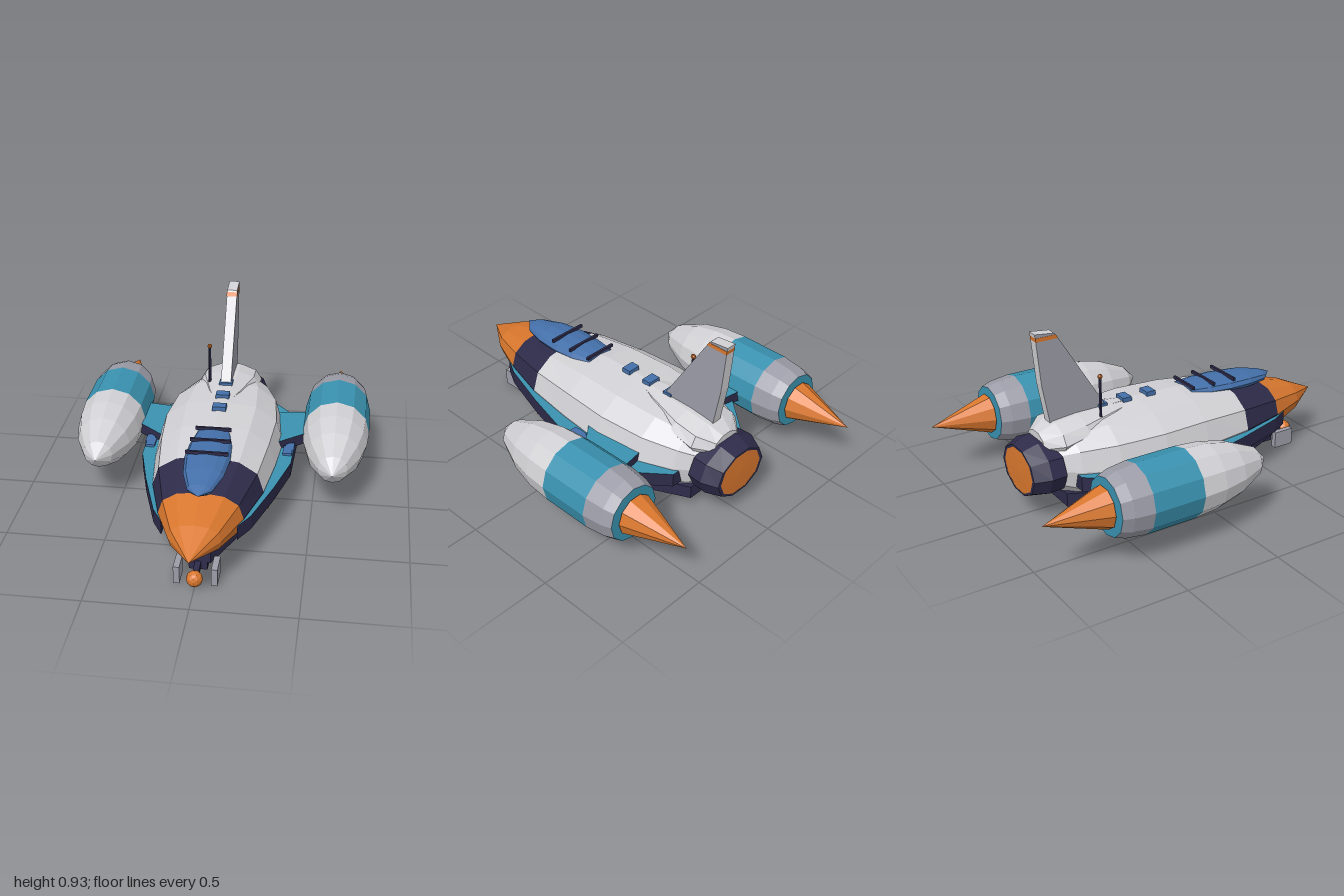
import * as THREE from 'three';

const mat = (name, color) => {
  const m = new THREE.MeshStandardMaterial({ color, flatShading: true });
  m.name = name;
  return m;
};
const grey = mat('light grey', 0xd2d2d6);
const mid = mat('mid grey', 0x9c9ca8);
const navy = mat('navy', 0x2e2b4a);
const teal = mat('teal', 0x3a92b0);
const orange = mat('orange', 0xd9772e);
const blue = mat('canopy blue', 0x4470aa);

// Faceted skin through rings [z, halfWidth, top, bottom], listed front to back.
function loft(rings, sides, power = 1) {
  const bend = v => Math.sign(v) * Math.abs(v) ** power;
  const point = ([z, w, top, bottom], i) => {
    const a = (i / sides) * Math.PI * 2;
    return [w * bend(Math.cos(a)), (top + bottom) / 2 + (top - bottom) / 2 * bend(Math.sin(a)), z];
  };
  const pos = [];
  for (let r = 0; r < rings.length - 1; r++) {
    for (let i = 0; i < sides; i++) {
      const a = point(rings[r], i), b = point(rings[r], i + 1);
      const c = point(rings[r + 1], i + 1), d = point(rings[r + 1], i);
      pos.push(...a, ...d, ...b, ...b, ...d, ...c);
    }
  }
  const g = new THREE.BufferGeometry();
  g.setAttribute('position', new THREE.Float32BufferAttribute(pos, 3));
  g.computeVertexNormals();
  return g;
}

// Flat plate from an [x, z] outline, between heights y0 and y1.
function plate(points, y0, y1) {
  const shape = new THREE.Shape(points.map(([x, z]) => new THREE.Vector2(x, -z)));
  const g = new THREE.ExtrudeGeometry(shape, { depth: y1 - y0, bevelEnabled: false });
  return g.rotateX(-Math.PI / 2).translate(0, y0, 0);
}

// Upright slab from a [z, y] outline, centred on x = 0.
function slab(points, width) {
  const shape = new THREE.Shape(points.map(([z, y]) => new THREE.Vector2(-z, y)));
  const g = new THREE.ExtrudeGeometry(shape, { depth: width, bevelEnabled: false });
  return g.translate(0, 0, -width / 2).rotateY(Math.PI / 2);
}

export function createModel() {
  const ship = new THREE.Group();
  ship.name = 'spaceship';
  const add = (name, geometry, material, x = 0, y = 0, z = 0, parent = ship) => {
    const m = new THREE.Mesh(geometry, material);
    m.name = name;
    m.position.set(x, y, z);
    parent.add(m);
    return m;
  };
  const box = (name, w, h, d, material, x, y, z) =>
    add(name, new THREE.BoxGeometry(w, h, d), material, x, y, z);

  // Fuselage in three colour bands
  const rings = [
    [1, 0, 0.255, 0.255], [0.82, 0.125, 0.337, 0.183], [0.62, 0.205, 0.39, 0.13],
    [0.37, 0.275, 0.44, 0.085], [0.1, 0.31, 0.472, 0.05], [-0.15, 0.328, 0.48, 0.035],
    [-0.4, 0.3, 0.472, 0.04], [-0.58, 0.23, 0.44, 0.09], [-0.7, 0.13, 0.38, 0.14], [-0.7, 0, 0.26, 0.26],
  ];
  add('noseCone', loft(rings.slice(0, 3), 12, 0.85), orange);
  add('noseBand', loft(rings.slice(2, 4), 12, 0.85), navy);
  add('fuselage', loft(rings.slice(3), 12, 0.85), grey);

  // Raised fairing under the fin
  add('finFairing', loft([
    [-0.06, 0, 0.475, 0.44], [-0.3, 0.1, 0.485, 0.4], [-0.5, 0.165, 0.487, 0.34],
    [-0.63, 0.165, 0.475, 0.3], [-0.71, 0.09, 0.43, 0.3], [-0.71, 0, 0.36, 0.36],
  ], 10), grey);

  // Main engine
  add('engineNozzle', loft([
    [-0.64, 0, 0.255, 0.255], [-0.65, 0.2, 0.395, 0.115], [-0.73, 0.205, 0.4, 0.11],
    [-0.81, 0.165, 0.37, 0.12], [-0.81, 0.145, 0.36, 0.13],
  ], 10), navy);
  add('engineGlow', loft([[-0.808, 0.15, 0.362, 0.128], [-0.812, 0, 0.245, 0.245]], 10), orange);

  // Canopy with hoops
  add('canopy', loft([
    [0.705, 0, 0.42, 0.42], [0.64, 0.06, 0.445, 0.385], [0.52, 0.098, 0.468, 0.385],
    [0.38, 0.112, 0.478, 0.39], [0.26, 0.105, 0.48, 0.4], [0.15, 0.085, 0.477, 0.42], [0.15, 0, 0.45, 0.45],
  ], 12), blue);
  [[0.4, 0.21], [0.275, 0.2], [0.155, 0.18]].forEach(([z, w]) =>
    box('canopyHoop', w, 0.016, 0.013, navy, 0, 0.478, z));

  // Dorsal panels and antenna
  [-0.07, -0.21, -0.35].forEach(z => box('dorsalPanel', 0.07, 0.025, 0.05, blue, 0, 0.484, z));
  add('antennaMast', new THREE.CylinderGeometry(0.008, 0.008, 0.24, 6), navy, -0.095, 0.555, -0.4);
  add('antennaTip', new THREE.IcosahedronGeometry(0.014), orange, -0.095, 0.675, -0.4);

  // Tail fin: mid grey sides, light edges, orange stripe
  add('tailFin', slab([
    [-0.31, 0.45], [-0.64, 0.45], [-0.68, 0.67], [-0.7, 0.89], [-0.582, 0.89],
  ], 0.054), [mid, grey]);
  add('finStripe', slab([[-0.582, 0.89], [-0.7, 0.89], [-0.702, 0.91], [-0.594, 0.91]], 0.057), orange);
  add('finTip', slab([[-0.594, 0.91], [-0.702, 0.91], [-0.705, 0.93], [-0.602, 0.918]], 0.054), [mid, grey]);

  // Belly plate and chin boom
  add('bellyPlate', plate([
    [0.06, 0.71], [0.275, 0.22], [0.275, -0.38], [0.15, -0.63],
    [-0.15, -0.63], [-0.275, -0.38], [-0.275, 0.22], [-0.06, 0.71],
  ], 0.06, 0.13), navy);
  box('chinBoom', 0.09, 0.045, 0.25, navy, 0, 0.043, 0.585);
  box('sensorArm', 0.03, 0.03, 0.12, navy, 0, 0.05, 0.76);
  add('sensorBall', new THREE.IcosahedronGeometry(0.04, 1), orange, 0, 0.05, 0.83);

  // Engine pod profile [z, radius]
  const podRing = ([z, r]) => [z, r, r, -r];
  const podNose = [[0.22, 0], [0.15, 0.075], [0.01, 0.137], [-0.12, 0.166], [-0.25, 0.175]];
  const podRear = [[-0.52, 0.175], [-0.62, 0.163], [-0.675, 0.145]];
  const podParts = [
    ['podNose', podNose, grey, 12],
    ['podBand', [podNose[4], podRear[0]], teal, 12],
    ['podRear', podRear, mid, 12],
    ['podEndRing', [podRear[2], [-0.675, 0]], teal, 12],
    ['podTailCone', [[-0.684, 0], [-0.684, 0.105], [-1, 0]], orange, 10],
  ];

  const strake = [[0.18, 0.68], [0.235, 0.58], [0.32, 0.31], [0.385, 0.06], [0.4, -0.42], [0.25, -0.6], [0.15, -0.6]];
  const pylon = [[0.2, 0], [0.3, -0.07], [0.44, -0.185], [0.44, -0.43], [0.25, -0.4], [0.2, -0.4]];

  for (const side of [1, -1]) {
    const mirror = pts => pts.map(([x, z]) => [x * side, z]);
    // Side strake and pylon: teal faces, navy edges
    add('strake', plate(mirror(strake), 0.18, 0.255), [teal, navy]);
    add('pylon', plate(mirror(pylon), 0.24, 0.298), [teal, navy]);
    box('strakePanel', 0.045, 0.02, 0.075, blue, side * 0.36, 0.258, -0.05 + 0.0);
    box('strakePanelFront', 0.045, 0.02, 0.075, blue, side * 0.358, 0.258, -0.055);
    box('strakePanelRear', 0.045, 0.02, 0.075, blue, side * 0.368, 0.258, -0.09);
    // Side light strip and chin plates
    box('sideStrip', 0.03, 0.022, 0.72, orange, side * 0.283, 0.155, -0.03);
    box('chinPlate', 0.03, 0.09, 0.115, mid, side * 0.09, 0.045, 0.75);

    const pod = new THREE.Group();
    pod.name = side > 0 ? 'leftPod' : 'rightPod';
    pod.position.set(side * 0.6, 0.285, 0);
    ship.add(pod);
    podParts.forEach(([name, profile, material, sides]) =>
      add(name, loft(profile.map(podRing), sides), material, 0, 0, 0, pod));
  }
  return ship;
}
